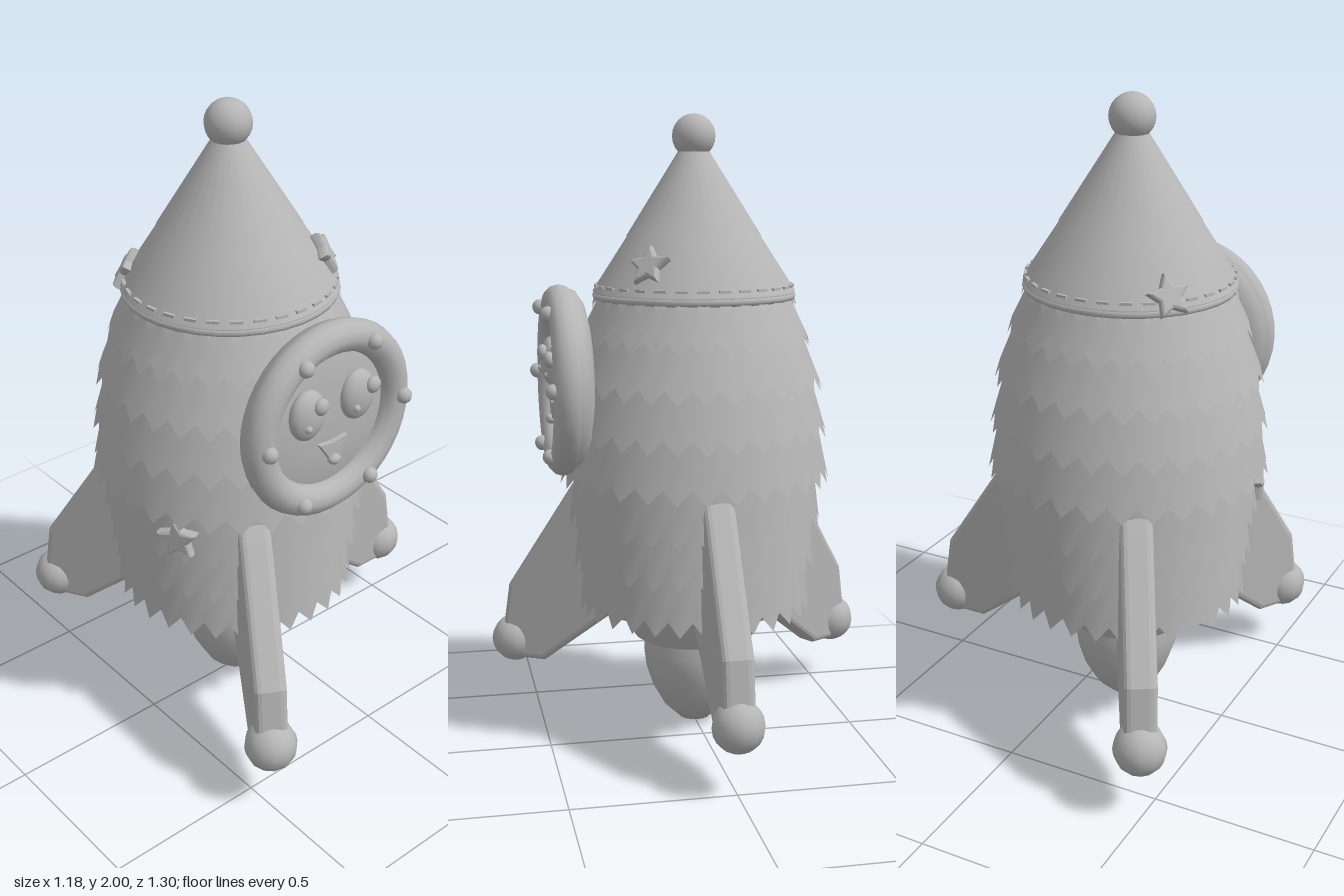
import * as THREE from 'three';

const grey = new THREE.MeshStandardMaterial({ color: 0xb6b6b6, side: THREE.DoubleSide });
grey.name = 'grey';

function add(parent, name, geometry, x = 0, y = 0, z = 0) {
  const mesh = new THREE.Mesh(geometry, grey);
  mesh.name = name;
  mesh.position.set(x, y, z);
  parent.add(mesh);
  return mesh;
}

const lathe = (points, sides = 32) =>
  new THREE.LatheGeometry(points.map(([r, y]) => new THREE.Vector2(r, y)), sides);
const ball = (r, w = 14, h = 10) => new THREE.SphereGeometry(r, w, h);

function outline(points) {
  return new THREE.Shape(points.map(([x, y]) => new THREE.Vector2(x, y)));
}

// One flared row of cladding with a zigzag lower edge
function skirt(rTop, yTop, rTip, yTip, teeth = 30, depth = 0.045) {
  const n = teeth * 2, pos = [], idx = [];
  for (let row = 0; row < 3; row++) {
    for (let i = 0; i < n; i++) {
      const a = (i / n) * Math.PI * 2;
      const valley = i % 2;
      const yEnd = yTip + valley * depth;
      const rEnd = rTip - valley * 0.014;
      const t = row / 2;
      const r = rTop + (rEnd - rTop) * t, y = yTop + (yEnd - yTop) * t;
      pos.push(r * Math.sin(a), y, r * Math.cos(a));
      if (row < 2) {
        const p = row * n + i, q = row * n + (i + 1) % n;
        idx.push(p, p + n, q, q, p + n, q + n);
      }
    }
  }
  const g = new THREE.BufferGeometry();
  g.setAttribute('position', new THREE.Float32BufferAttribute(pos, 3));
  g.setIndex(idx);
  g.computeVertexNormals();
  return g;
}

// Puffy five-pointed star facing +z
function star() {
  const pts = [];
  for (let i = 0; i < 10; i++) {
    const a = (i / 10) * Math.PI * 2 + Math.PI / 2, r = i % 2 ? 0.026 : 0.056;
    pts.push([r * Math.cos(a), r * Math.sin(a)]);
  }
  const g = new THREE.ExtrudeGeometry(outline(pts), {
    depth: 0.012, bevelThickness: 0.012, bevelSize: 0.009, bevelSegments: 2 });
  return g.translate(0, 0, -0.006);
}

export function createModel() {
  const model = new THREE.Group();
  model.name = 'rocket';
  const body = new THREE.Group();
  body.name = 'body';
  body.position.x = -0.15;
  model.add(body);

  // Inner hull with closed underside
  add(body, 'hull', lathe([[0.25, 0.42], [0.335, 0.42], [0.35, 0.6], [0.375, 0.8],
    [0.385, 0.95], [0.36, 1.15], [0.33, 1.3], [0.3, 1.44]]));

  // Cladding rows: top radius, top y, tip radius, tip y
  [[0.305, 1.45, 0.33, 1.395], [0.31, 1.42, 0.375, 1.27], [0.338, 1.33, 0.415, 1.13],
    [0.37, 1.19, 0.432, 0.98], [0.395, 1.04, 0.44, 0.83], [0.388, 0.89, 0.412, 0.69],
    [0.372, 0.75, 0.396, 0.55], [0.358, 0.61, 0.38, 0.4]]
    .forEach((r) => add(body, 'claddingRow', skirt(...r)));

  // Hat: brim, upper cone, hem, stitches and top ball
  add(body, 'hatBrim', lathe([[0.28, 1.425], [0.32, 1.43], [0.325, 1.445], [0.205, 1.63]]));
  add(body, 'hatCone', lathe([[0.216, 1.618], [0.045, 1.89]]));
  add(body, 'hatHem', new THREE.TorusGeometry(0.314, 0.013, 8, 32).rotateX(Math.PI / 2), 0, 1.43, 0);
  for (let i = 0; i < 30; i++) {
    const a = (i / 30) * Math.PI * 2;
    const s = add(body, 'stitch', new THREE.BoxGeometry(0.036, 0.008, 0.012),
      0.314 * Math.sin(a), 1.462, 0.314 * Math.cos(a));
    s.rotation.y = a;
  }
  add(body, 'topBall', ball(0.07, 16, 12), 0, 1.93, 0);

  // Engine collar and egg-shaped nozzle
  add(body, 'collar', lathe([[0.25, 0.43], [0.245, 0.4], [0.2, 0.31], [0.185, 0.302], [0.1, 0.305]]));
  add(body, 'nozzle', lathe([[0, 0.003], [0.05, 0.014], [0.1, 0.06], [0.14, 0.13],
    [0.163, 0.2], [0.17, 0.26], [0.165, 0.33]], 16));

  // Three fins with ball feet
  const fin = new THREE.ExtrudeGeometry(outline([[0.25, 0.4], [0.54, 0.18], [0.63, 0.18],
    [0.665, 0.27], [0.643, 0.415], [0.41, 0.77], [0.36, 0.84], [0.31, 0.8], [0.25, 0.52]]),
  { depth: 0.056, bevelThickness: 0.022, bevelSize: 0.02, bevelSegments: 3 });
  fin.translate(0, 0, -0.028);
  for (let i = 0; i < 3; i++) {
    const leg = new THREE.Group();
    leg.name = 'finLeg';
    leg.rotation.y = (i * Math.PI * 2) / 3;
    body.add(leg);
    add(leg, 'fin', fin);
    add(leg, 'foot', ball(0.081, 12, 10), 0.658, 0.22, 0);
  }

  // Porthole: ring, shallow backing, face plate and rivets
  const port = new THREE.Group();
  port.name = 'porthole';
  port.position.set(0, 1.165, 0);
  body.add(port);
  add(port, 'ring', new THREE.TorusGeometry(0.256, 0.049, 12, 40), 0, 0, 0.434);
  add(port, 'backing', lathe([[0, 0.345], [0.2, 0.35], [0.25, 0.362], [0.285, 0.385],
    [0.298, 0.42]], 40).rotateX(Math.PI / 2));
  add(port, 'facePlate', lathe([[0.225, 0.425], [0.21, 0.437], [0.12, 0.447], [0, 0.45]], 40)
    .rotateX(Math.PI / 2));
  for (let i = 0; i < 6; i++) {
    const a = (i * Math.PI) / 3;
    add(port, 'rivet', ball(0.025, 10, 8), 0.258 * Math.cos(a), 0.258 * Math.sin(a), 0.483);
  }

  // Face: eyes with raised highlights, mouth and tongue
  [-1, 1].forEach((s) => {
    add(port, 'eye', ball(1, 18, 12).scale(0.063, 0.079, 0.035), s * 0.096, 0.052, 0.452);
    add(port, 'bigHighlight', ball(0.026, 10, 8).scale(1, 1, 0.7), s * 0.1 + 0.03, 0.083, 0.483);
    add(port, 'smallHighlight', ball(0.012, 8, 6), s * 0.092 - 0.024, 0.026, 0.482);
  });
  add(port, 'mouth', new THREE.ExtrudeGeometry(
    outline([[-0.053, -0.062], [-0.005, -0.132], [0.012, -0.13], [0.055, -0.062], [0, -0.068]]),
    { depth: 0.02, bevelEnabled: false }), 0, 0, 0.445);
  add(port, 'tongue', ball(0.022, 10, 8).scale(1, 0.75, 0.8), 0, -0.123, 0.466);

  // Stars on the hat and the hull: x, y, z, upward tilt
  [[0.21, 1.535, 0.18, 0.5], [-0.225, 1.475, -0.21, 0.5], [-0.363, 0.78, 0.19, 0]]
    .forEach(([x, y, z, tilt]) => {
      const s = add(body, 'star', star(), x, y, z);
      s.rotation.order = 'YXZ';
      s.rotation.set(-tilt, Math.atan2(x, z), 0.12);
    });

  return model;
}
